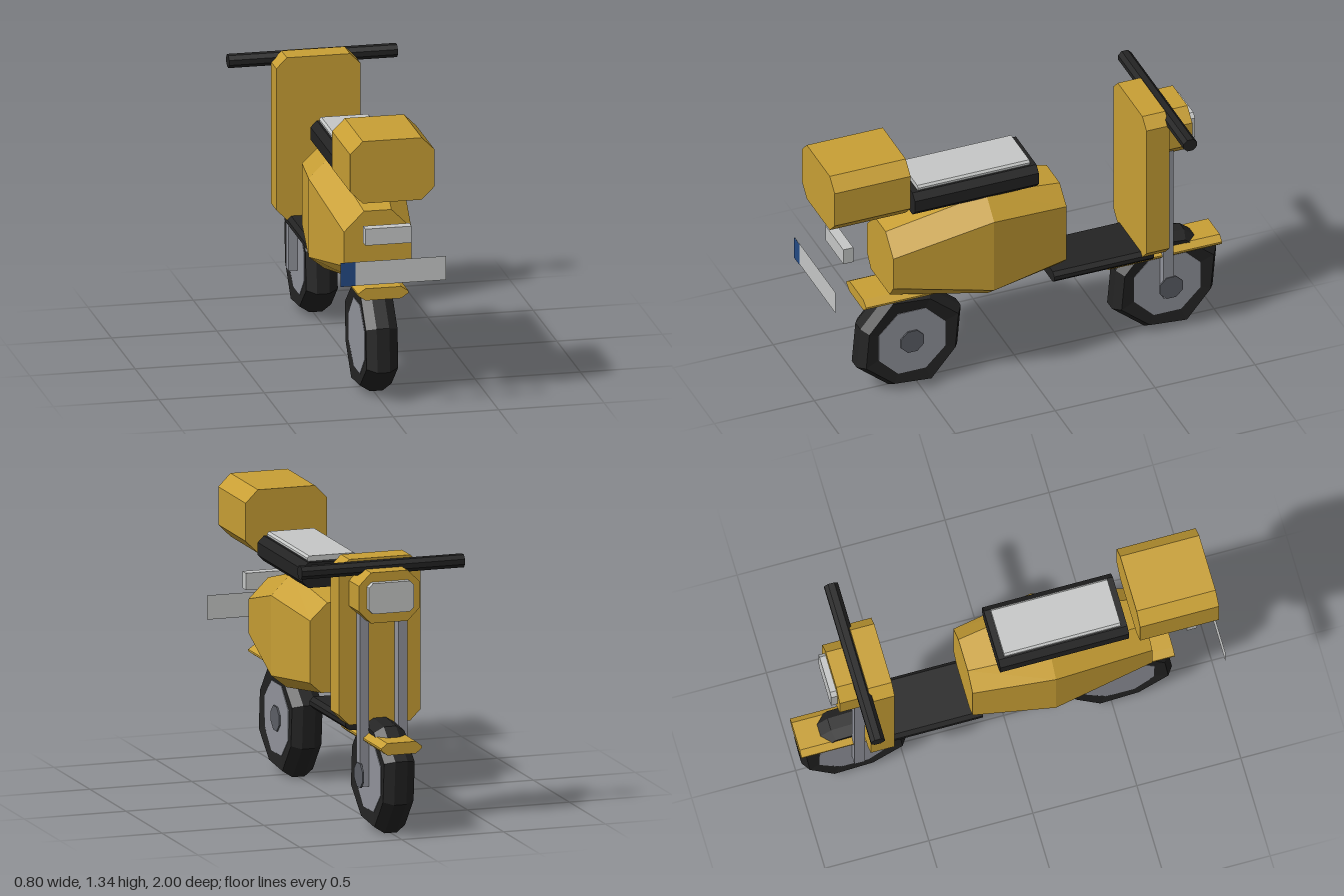
import * as THREE from 'three';

const mat = (name, color) => {
  const m = new THREE.MeshStandardMaterial({ color });
  m.name = name;
  return m;
};

// Eight-sided section, counter-clockwise seen from +z: half widths and four heights
const octagon = (top, mid, bottom, y0, y1, y2, y3) => [
  [bottom, y0], [mid, y1], [mid, y2], [top, y3],
  [-top, y3], [-mid, y2], [-mid, y1], [-bottom, y0],
];

// Faceted solid through sections ordered from low z to high z
function loft(rings) {
  const pos = [];
  const tri = (...pts) => pts.forEach((p) => pos.push(...p));
  const at = (r, i) => [...r.pts[i % r.pts.length], r.z];
  const n = rings[0].pts.length;
  for (let k = 0; k + 1 < rings.length; k++) {
    const a = rings[k], b = rings[k + 1];
    for (let i = 0; i < n; i++) {
      tri(at(a, i), at(a, i + 1), at(b, i + 1));
      tri(at(a, i), at(b, i + 1), at(b, i));
    }
  }
  const back = rings[0], front = rings[rings.length - 1];
  for (let i = 1; i + 1 < n; i++) {
    tri(at(front, 0), at(front, i), at(front, i + 1));
    tri(at(back, 0), at(back, i + 1), at(back, i));
  }
  const g = new THREE.BufferGeometry();
  g.setAttribute('position', new THREE.Float32BufferAttribute(pos, 3));
  g.computeVertexNormals();
  return g;
}

// Straight bar along z with chamfered long edges
function chamferBar(halfW, y0, y1, z0, z1, cx, cy = cx) {
  const pts = octagon(halfW - cx, halfW, halfW - cx, y0, y0 + cy, y1 - cy, y1);
  return loft([{ z: z0, pts }, { z: z1, pts }]);
}

function flat(g) {
  const f = g.toNonIndexed();
  f.computeVertexNormals();
  return f;
}

export function createModel() {
  const model = new THREE.Group();
  model.name = 'scooter';

  const yellow = mat('mustard paint', 0xc9a035);
  const black = mat('black rubber', 0x232323);
  const silver = mat('pale silver', 0xc6c8c7);
  const grey = mat('steel grey', 0x92949c);
  const darkGrey = mat('dark steel', 0x5c5f66);
  const blue = mat('blue', 0x234a85);
  const plateMat = mat('plate silver', 0xc6c8c7);
  plateMat.side = THREE.DoubleSide;

  const add = (name, geometry, material, parent = model) => {
    const m = new THREE.Mesh(geometry, material);
    m.name = name;
    parent.add(m);
    return m;
  };

  // Main body, widest in the middle
  add('body', loft([
    { z: -0.195, pts: octagon(0.08, 0.165, 0.11, 0.54, 0.59, 0.885, 0.965) },
    { z: 0.19, pts: octagon(0.12, 0.22, 0.145, 0.49, 0.55, 0.93, 1.03) },
    { z: 0.67, pts: octagon(0.065, 0.16, 0.115, 0.585, 0.645, 0.81, 0.905) },
  ]), yellow);

  // Seat with its pale top pad
  add('seat', chamferBar(0.155, 1.01, 1.13, -0.06, 0.56, 0.03), black);
  add('seatPad', chamferBar(0.12, 1.125, 1.155, -0.03, 0.53, 0.01), silver);

  // Luggage box, leg shield, footboard
  add('luggageBox', chamferBar(0.2, 1.04, 1.34, 0.6, 0.98, 0.06), yellow);
  add('legShield', chamferBar(0.2, 0.495, 1.28, -0.695, -0.58, 0.05), yellow);
  add('footboard', chamferBar(0.148, 0.457, 0.513, -0.64, -0.14, 0.018), black);

  // Fenders
  add('rearFender', chamferBar(0.12, 0.51, 0.567, 0.23, 0.79, 0.035, 0.024), yellow);
  add('frontFender', chamferBar(0.1, 0.408, 0.465, -1, -0.44, 0.03, 0.024), yellow);

  // Headlight
  add('headlightHousing', chamferBar(0.15, 1.0, 1.24, -0.83, -0.69, 0.06), yellow);
  add('headlightLens', chamferBar(0.11, 1.05, 1.195, -0.86, -0.825, 0.02), silver);

  // Handlebar
  const bar = add('handlebar', chamferBar(0.033, -0.03, 0.03, -0.4, 0.4, 0.018), black);
  bar.rotation.y = Math.PI / 2;
  bar.position.set(0, 1.24, -0.717);

  // Fork legs
  for (const s of [-1, 1]) {
    const leg = add(s > 0 ? 'leftForkLeg' : 'rightForkLeg',
      new THREE.BoxGeometry(0.044, 0.82, 0.05), grey);
    leg.position.set(s * 0.094, 0.62, -0.725);
  }

  // Wheels: faceted tyre with alternating corner radius, hub disc, one-sided axle cap
  const profile = [[0.165, -0.066], [0.25, -0.075], [0.282, -0.03],
    [0.282, 0.03], [0.25, 0.075], [0.165, 0.066]].map((p) => new THREE.Vector2(...p));
  const tyreGeo = new THREE.LatheGeometry(profile, 8, Math.PI / 8);
  const p = tyreGeo.attributes.position;
  for (let i = 0; i < p.count; i++) {
    if (Math.floor(i / profile.length) % 2 === 0) {
      p.setXYZ(i, p.getX(i) * 0.93, p.getY(i), p.getZ(i) * 0.93);
    }
  }
  tyreGeo.rotateZ(Math.PI / 2);
  const disc = (r, w) => flat(new THREE.CylinderGeometry(r, r, w, 8, 1, false, Math.PI / 8)
    .rotateZ(Math.PI / 2));
  for (const [name, z, capX] of [['rearWheel', 0.54, 0.078], ['frontWheel', -0.738, 0.12]]) {
    const wheel = new THREE.Group();
    wheel.name = name;
    wheel.position.set(0, 0.265, z);
    add('tyre', flat(tyreGeo), black, wheel);
    add('hub', disc(0.18, 0.142), grey, wheel);
    add('axleCap', disc(0.062, 0.008), darkGrey, wheel).position.x = capX - 0.004;
    model.add(wheel);
  }

  // Tail light and rear plate with a blue end strip
  add('tailLight', new THREE.BoxGeometry(0.22, 0.08, 0.05), silver).position.set(0, 0.85, 0.875);
  add('rearPlate', new THREE.PlaneGeometry(0.5, 0.115), plateMat).position.set(0, 0.707, 0.997);
  add('plateStrip', new THREE.PlaneGeometry(0.07, 0.115), blue).position.set(-0.215, 0.707, 1);

  return model;
}
